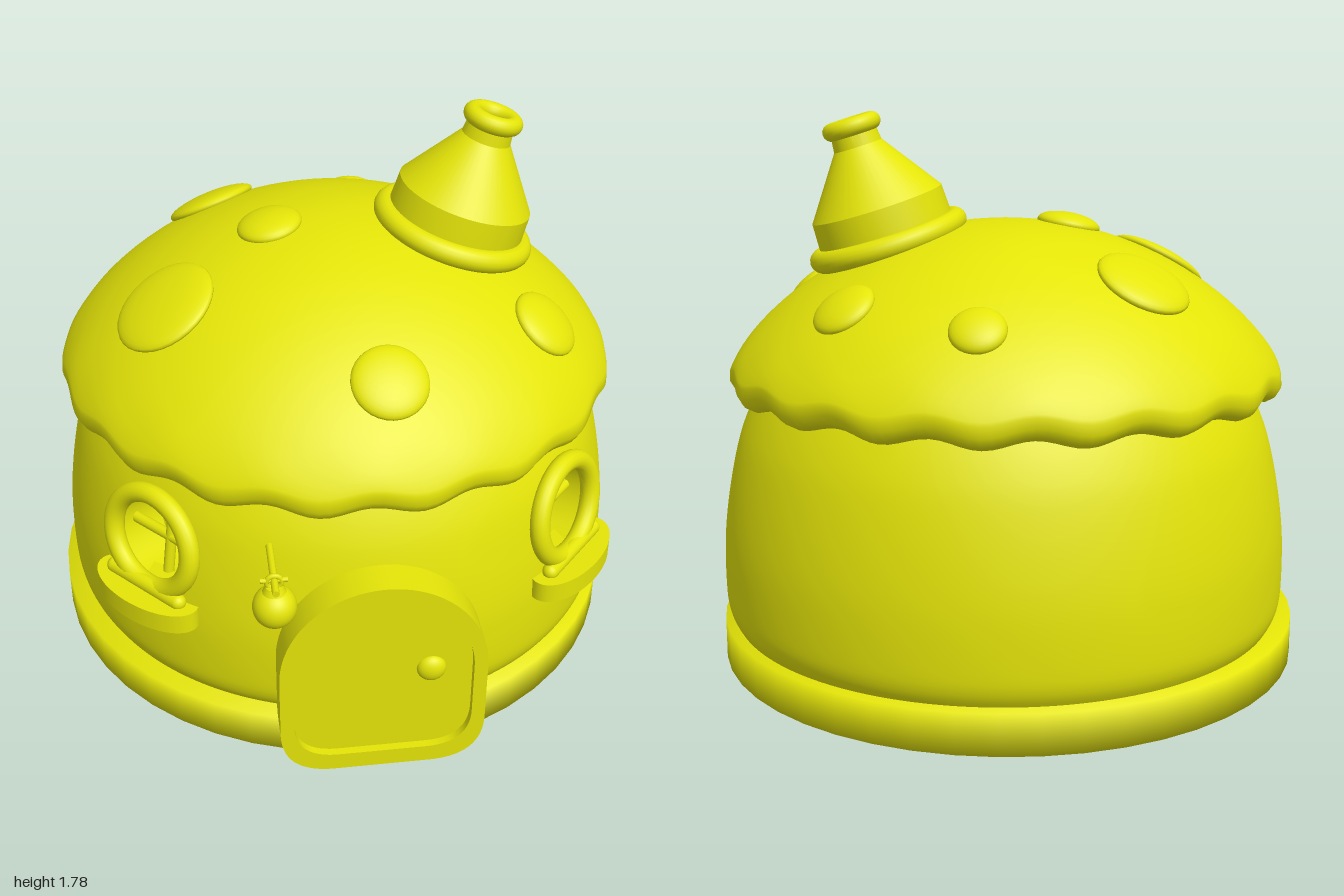
import * as THREE from 'three';
import { mergeVertices, toCreasedNormals } from 'three/addons/utils/BufferGeometryUtils.js';

const yellow = new THREE.MeshStandardMaterial({ color: 0xe4e408, side: THREE.DoubleSide });
yellow.name = 'yellow';

const WALL = { x: 0.015, z: -0.05 };             // wall axis
const ROOF = { x: 0.008, z: -0.035 };            // roof axis
const WINDOW_Y = 0.63, RIM = 0.158, WINDOW_ANGLE = 0.82;

function add(parent, name, geometry, x = 0, y = 0, z = 0) {
  const mesh = new THREE.Mesh(geometry, yellow);
  mesh.name = name;
  mesh.position.set(x, y, z);
  parent.add(mesh);
  return mesh;
}
const vecs = (list) => list.map(([x, y]) => new THREE.Vector2(x, y));

// Wall of revolution with two round window openings
function wallGeometry() {
  const curve = new THREE.SplineCurve(vecs([[0.9, 0.12], [0.925, 0.17], [0.934, 0.24], [0.932, 0.4],
    [0.914, 0.55], [0.883, 0.7], [0.85, 0.8], [0.802, 0.9], [0.74, 1.0]]));
  const geo = new THREE.LatheGeometry(curve.getPoints(48), 192);
  const p = geo.attributes.position, src = geo.index.array, kept = [];
  for (let i = 0; i < src.length; i += 3) {
    let x = 0, y = 0, z = 0;
    for (let k = 0; k < 3; k++) {
      x += p.getX(src[i + k]) / 3; y += p.getY(src[i + k]) / 3; z += p.getZ(src[i + k]) / 3;
    }
    const tangent = Math.abs(x) * Math.cos(WINDOW_ANGLE) - z * Math.sin(WINDOW_ANGLE);
    const inside = z > 0 && Math.hypot(tangent, y - WINDOW_Y) < RIM;
    if (!inside) kept.push(src[i], src[i + 1], src[i + 2]);
  }
  geo.setIndex(kept);
  return geo;
}

// Cap profile: height and slope at a distance from the axis
const CAP = 0.905;
const roofY = (r) => 0.95 + 0.48 * Math.pow(Math.max(0, 1 - (r / CAP) ** 2), 0.75);
const roofSlope = (r) => -0.72 * r / CAP ** 2 * Math.pow(1 - (r / CAP) ** 2, -0.25);

// Mushroom cap with a scalloped rim
function roofGeometry() {
  const pts = [[0.6, 0.93], [0.78, 0.9], [0.82, 0.885], [0.86, 0.88], [0.888, 0.895], [CAP, 0.925]];
  for (let i = 1; i <= 28; i++) {
    const r = CAP * Math.cos(i / 28 * Math.PI / 2);
    pts.push([i === 28 ? 0 : r, roofY(r)]);
  }
  let geo = new THREE.LatheGeometry(vecs(pts), 180);
  const p = geo.attributes.position;
  for (let i = 0; i < p.count; i++) {
    const x = p.getX(i), y = p.getY(i), z = p.getZ(i);
    const r = Math.hypot(x, z);
    const w = (1 - THREE.MathUtils.smoothstep(y, 0.92, 1.1)) * THREE.MathUtils.smoothstep(r, 0.7, 0.84);
    const wave = Math.cos(18 * Math.atan2(x, z)) * w;
    const k = 1 - 0.006 * wave;
    p.setXYZ(i, x * k, y + 0.013 * wave, z * k);
  }
  geo.deleteAttribute('uv');
  geo.deleteAttribute('normal');
  geo = mergeVertices(geo);
  geo.computeVertexNormals();
  return geo;
}

// Door outline: rounded bottom corners and an arched top
function doorOutline(ShapeType, w, y0, y1, rc) {
  const s = new ShapeType(), spring = 0.38;
  s.moveTo(-w + rc, y0);
  s.lineTo(w - rc, y0);
  s.quadraticCurveTo(w, y0, w, y0 + rc);
  s.lineTo(w, spring);
  s.absellipse(0, spring, w, y1 - spring, 0, Math.PI, false);
  s.lineTo(-w, y0 + rc);
  s.quadraticCurveTo(-w, y0, -w + rc, y0);
  return s;
}
function extrude(shape, depth) {
  return toCreasedNormals(new THREE.ExtrudeGeometry(shape, { depth, bevelEnabled: false, curveSegments: 32 }), 0.6);
}

function makeDoor() {
  const g = new THREE.Group();
  g.name = 'door';
  const frame = doorOutline(THREE.Shape, 0.317, 0, 0.71, 0.17);
  frame.holes.push(doorOutline(THREE.Path, 0.275, 0.06, 0.655, 0.14));
  add(g, 'doorFrame', extrude(frame, 0.112), 0, 0, 0.865);
  add(g, 'doorPanel', extrude(doorOutline(THREE.Shape, 0.278, 0.057, 0.658, 0.14), 0.085), 0, 0, 0.867);
  add(g, 'doorKnob', new THREE.SphereGeometry(0.046, 24, 16), 0.148, 0.367, 0.95).scale.z = 0.65;
  g.position.x = 0.032;
  return g;
}

function makeWindow(side) {
  const g = new THREE.Group();
  g.name = side > 0 ? 'leftWindow' : 'rightWindow';
  g.position.set(WALL.x * 1.2 + side * 0.9 * Math.sin(WINDOW_ANGLE), 0, WALL.z + 0.9 * Math.cos(WINDOW_ANGLE));
  g.rotation.y = side * WINDOW_ANGLE;
  const leaning = new THREE.Group();
  leaning.name = 'windowFrame';
  leaning.position.y = WINDOW_Y;
  leaning.rotation.x = -0.17;
  g.add(leaning);
  add(leaning, 'windowRim', new THREE.TorusGeometry(RIM, 0.032, 16, 48)).scale.x = 1.05;
  const recess = new THREE.CylinderGeometry(RIM, RIM, 0.2, 48, 1, true).rotateX(Math.PI / 2);
  add(leaning, 'windowRecess', recess, 0, 0, -0.1);
  add(leaning, 'windowPane', new THREE.CircleGeometry(RIM, 48), 0, 0, -0.2);
  const bar = new THREE.CylinderGeometry(0.018, 0.018, 2 * RIM, 12);
  add(leaning, 'uprightBar', bar, 0, 0, -0.09);
  add(leaning, 'crossBar', bar, 0, -0.02, -0.09).rotation.z = Math.PI / 2;
  // Rounded rail and ledge below the opening
  add(g, 'windowRail', new THREE.CapsuleGeometry(0.026, 0.28, 8, 16), 0, 0.482, 0.035).rotation.z = Math.PI / 2;
  add(g, 'windowSill', new THREE.CylinderGeometry(0.205, 0.205, 0.068, 48), 0, 0.439, 0.03).scale.z = 0.48;
  return g;
}

function makeChimney() {
  const g = new THREE.Group();
  g.name = 'chimney';
  add(g, 'chimneyCollar', new THREE.TorusGeometry(0.23, 0.037, 16, 64).rotateX(Math.PI / 2));
  const profile = vecs([[0.224, -0.1], [0.224, 0.03], [0.22, 0.122], [0.08, 0.318],
    [0.074, 0.372], [0.046, 0.39], [0.046, 0.3], [0, 0.3]]);
  add(g, 'chimneyBody', toCreasedNormals(new THREE.LatheGeometry(profile, 48), 0.5));
  add(g, 'chimneyLip', new THREE.TorusGeometry(0.068, 0.029, 16, 40).rotateX(Math.PI / 2), 0, 0.383);
  g.position.set(0.391, 1.364, -0.015);
  g.rotation.z = -0.3;
  return g;
}

function makeLantern() {
  const g = new THREE.Group();
  g.name = 'lantern';
  add(g, 'lanternBody', new THREE.SphereGeometry(0.066, 32, 20), 0, 0.645, 0.932);
  add(g, 'lanternCap', new THREE.CylinderGeometry(0.026, 0.036, 0.022, 24), 0, 0.71, 0.932);
  add(g, 'lanternRing', new THREE.TorusGeometry(0.022, 0.008, 10, 24), 0, 0.735, 0.932);
  add(g, 'lanternArm', new THREE.CylinderGeometry(0.011, 0.011, 0.22, 12), 0, 0.742, 0.885).rotation.x = Math.PI / 2;
  add(g, 'lanternPin', new THREE.CylinderGeometry(0.008, 0.008, 0.08, 10), 0, 0.742, 0.932).rotation.z = Math.PI / 2;
  g.position.x = -0.289;
  return g;
}

export function createModel() {
  const model = new THREE.Group();
  model.name = 'mushroomHouse';

  // Base ring closed by a flush floor, then wall and cap
  const ring = vecs([[0.75, 0], [0.957, 0], [0.957, 0.13], [0.75, 0.13]]);
  add(model, 'base', new THREE.LatheGeometry(ring, 48), 0, 0, -0.045);
  add(model, 'floor', new THREE.CircleGeometry(0.75, 48).rotateX(Math.PI / 2), 0, 0.002, -0.045);
  add(model, 'wall', wallGeometry(), WALL.x, 0, WALL.z);
  add(model, 'roof', roofGeometry(), ROOF.x, 0, ROOF.z);

  // Raised spots lying on the cap: x, z, radius
  const spots = [[-0.55, 0.21, 0.172], [-0.37, -0.475, 0.152], [0.155, -0.735, 0.086], [0.535, -0.47, 0.103],
    [-0.205, -0.005, 0.105], [0.625, 0.33, 0.118], [0.085, 0.645, 0.118]];
  const up = new THREE.Vector3(0, 1, 0);
  for (const [x, z, radius] of spots) {
    const dx = x - ROOF.x, dz = z - ROOF.z, r = Math.hypot(dx, dz), slope = roofSlope(r);
    const normal = new THREE.Vector3(-slope * dx / r, 1, -slope * dz / r).normalize();
    const spot = add(model, 'roofSpot', new THREE.SphereGeometry(1, 32, 16), x, roofY(r), z);
    spot.scale.set(radius, 0.038, radius);
    spot.quaternion.setFromUnitVectors(up, normal);
  }

  model.add(makeChimney(), makeDoor(), makeWindow(1), makeWindow(-1), makeLantern());
  return model;
}
